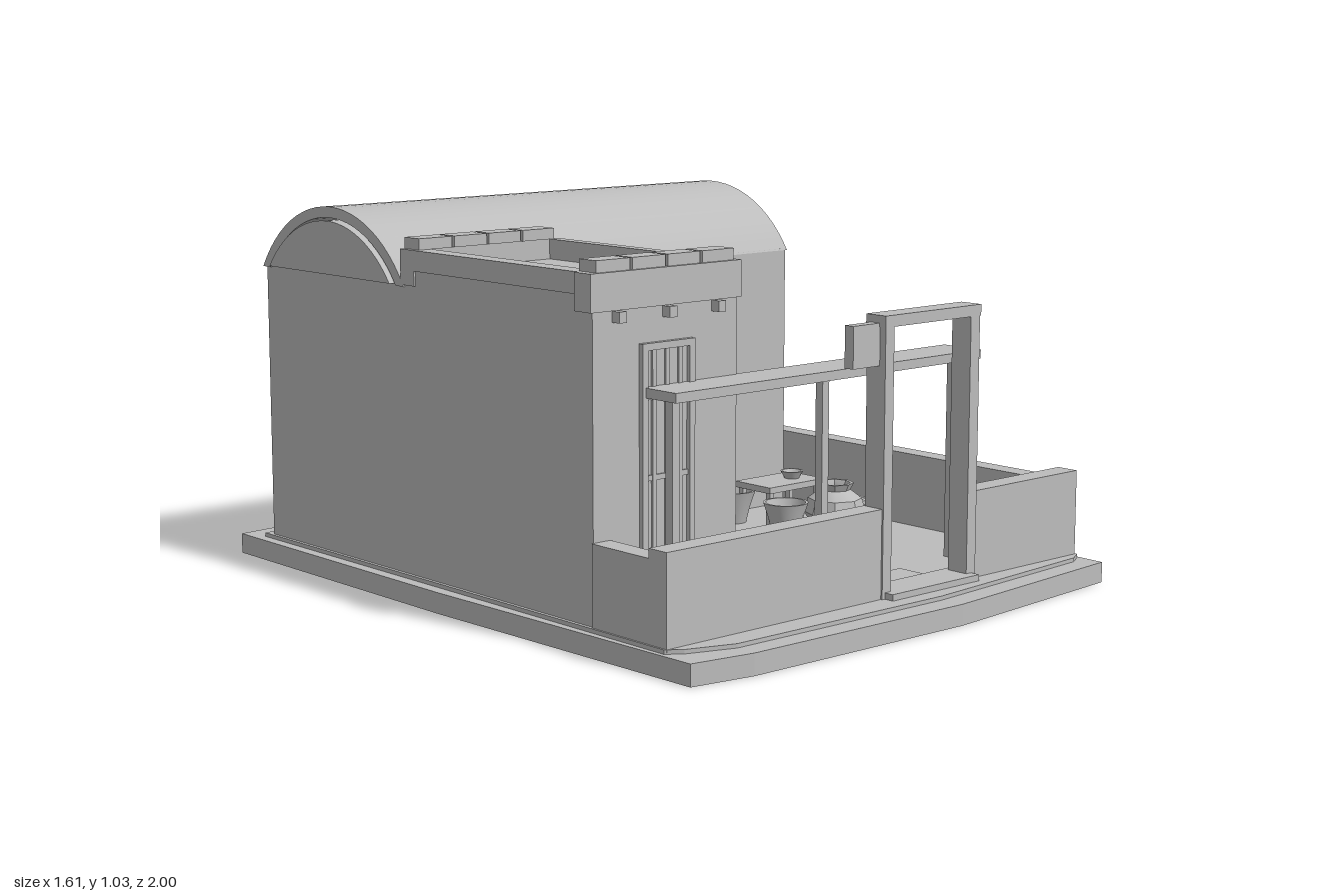
import * as THREE from 'three';
import { toCreasedNormals } from 'three/addons/utils/BufferGeometryUtils.js';

export function createModel() {
  const model = new THREE.Group();
  model.name = 'courtyardHouse';
  const clay = new THREE.MeshStandardMaterial({ color: 0xbcbcbc, side: THREE.DoubleSide });
  clay.name = 'plain grey clay';

  const add = (name, geometry, parent = model) => {
    const mesh = new THREE.Mesh(geometry, clay);
    mesh.name = name;
    parent.add(mesh);
    return mesh;
  };
  // Box given by its limits on each axis
  const box = (name, x0, x1, y0, y1, z0, z1, parent = model) => {
    const mesh = add(name, new THREE.BoxGeometry(x1 - x0, y1 - y0, z1 - z0), parent);
    mesh.position.set((x0 + x1) / 2, (y0 + y1) / 2, (z0 + z1) / 2);
    return mesh;
  };
  // Flat slab with an outline of [x, z] corners
  const slab = (name, outline, y0, y1) => {
    const shape = new THREE.Shape(outline.map(([x, z]) => new THREE.Vector2(x, -z)));
    const geo = new THREE.ExtrudeGeometry(shape, { depth: y1 - y0, bevelEnabled: false });
    add(name, geo.rotateX(-Math.PI / 2).translate(0, y0, 0));
  };

  // Ground plinth and yard floor
  slab('groundSlab', [[-0.8, -0.96], [-0.235, -1], [0.685, -0.975], [0.8, -0.66], [0.8, -0.1],
    [0.775, 0.94], [0.13, 1], [-0.6, 0.985], [-0.78, 0.955], [-0.805, 0]], 0, 0.057);
  slab('yardFloor', [[-0.77, -0.88], [-0.6, -0.9], [-0.2, -0.945], [0.66, -0.915], [0.7, -0.8], [0.775, -0.8],
    [0.765, 0.86], [0.72, 0.885], [0.12, 0.935], [-0.6, 0.925], [-0.73, 0.88], [-0.77, 0.85]], 0.057, 0.068);

  // Main hall
  box('hallWalls', -0.76, 0.65, 0.06, 0.85, -0.85, -0.19);

  // Barrel roof: arch profile swept along x
  const cy = 0.639, cu = 0.525;
  const arc = (r, y0) => {
    const a = Math.asin((y0 - cy) / r);
    return Array.from({ length: 25 }, (_, i) => {
      const t = a + (Math.PI - 2 * a) * i / 24;
      return new THREE.Vector2(cu + r * Math.cos(t), cy + r * Math.sin(t));
    });
  };
  const sweep = (name, points, x0, x1) => {
    const geo = new THREE.ExtrudeGeometry(new THREE.Shape(points), { depth: x1 - x0, bevelEnabled: false });
    geo.rotateY(Math.PI / 2).translate(x0, 0, 0);
    add(name, toCreasedNormals(geo, 0.5));
  };
  sweep('barrelRoof', [...arc(0.396, 0.845), ...arc(0.366, 0.845).reverse()], -0.765, 0.655);
  sweep('archedGables', arc(0.358, 0.85), -0.776, 0.664);
  box('roofEave', -0.76, 0.65, 0.8, 0.85, -0.2, -0.19);

  // Front wing with a walled flat roof
  box('wingWalls', -0.76, -0.28, 0.06, 0.89, -0.19, 0.58);
  box('frontParapet', -0.775, -0.275, 0.85, 0.945, 0.53, 0.592);
  box('rearParapet', -0.765, -0.275, 0.85, 0.945, -0.2, -0.14);
  box('leftParapet', -0.765, -0.71, 0.89, 0.945, -0.14, 0.53);
  box('rightParapet', -0.305, -0.27, 0.89, 0.945, -0.14, 0.53);
  for (let i = 0; i < 4; i++) {
    const x = -0.75 + i * 0.116;
    box('frontMerlon', x, x + 0.108, 0.945, 0.975, 0.52, 0.583);
    box('rearMerlon', x, x + 0.108, 0.945, 0.975, -0.2, -0.135);
  }
  for (const x of [-0.685, -0.52, -0.355]) box('roofBeamEnd', x - 0.012, x + 0.012, 0.82, 0.848, 0.57, 0.607);

  // Panelled doors with frame, stiles and rails
  const door = (name, x0, x1, y0, y1, z) => {
    const g = new THREE.Group();
    g.name = name;
    model.add(g);
    const f = 0.018, w = x1 - x0, h = y1 - y0;
    for (const x of [x0, x1 - f]) box('doorJamb', x, x + f, y0, y1, z, z + 0.016, g);
    box('doorHead', x0, x1, y1 - f, y1, z, z + 0.016, g);
    box('doorSill', x0, x1, y0, y0 + f, z, z + 0.016, g);
    box('doorLeaf', x0 + f, x1 - f, y0, y1 - f, z, z + 0.004, g);
    for (let i = 1; i < 4; i++) {
      const x = x0 + w * i / 4;
      box('doorStile', x - 0.006, x + 0.006, y0 + f, y1 - f, z, z + 0.01, g);
    }
    for (const t of [0.2, 0.5, 0.8]) {
      const y = y0 + h * t;
      box('doorRail', x0 + f, x1 - f, y - 0.007, y + 0.007, z, z + 0.009, g);
    }
  };
  door('wingDoor', -0.61, -0.435, 0.08, 0.76, 0.578);
  door('hallDoor', -0.2, 0.095, 0.08, 0.76, -0.192);
  box('hallDoorStep', -0.22, 0.11, 0.06, 0.085, -0.19, -0.15);
  box('hallLintel', -0.28, 0.17, 0.805, 0.838, -0.19, -0.163);
  box('slantedBoard', -0.275, -0.11, 0.775, 0.79, -0.17, -0.15).rotation.y = 0.3;

  // Yard walls
  box('frontWallLeft', -0.765, -0.02, 0.06, 0.305, 0.79, 0.855);
  box('frontWallRight', 0.33, 0.76, 0.06, 0.305, 0.79, 0.855);
  box('rightWall', 0.697, 0.758, 0.06, 0.28, -0.795, 0.79);
  box('leftWall', -0.765, -0.705, 0.06, 0.28, 0.58, 0.79);

  // Gateway
  box('gatePostLeft', -0.025, 0.007, 0.06, 0.78, 0.795, 0.86);
  box('gatePostRight', 0.3, 0.335, 0.06, 0.78, 0.795, 0.86);
  box('gateBeam', -0.027, 0.337, 0.775, 0.805, 0.793, 0.862);
  box('gateThreshold', -0.015, 0.32, 0.06, 0.085, 0.78, 0.888);
  box('hangingBoard', -0.122, -0.025, 0.675, 0.785, 0.81, 0.84);

  // Porch canopy
  box('canopy', -0.6, 0.52, 0.625, 0.65, 0.573, 0.705);
  for (const x of [-0.555, -0.03, 0.48]) box('canopyPost', x - 0.012, x + 0.012, 0.06, 0.625, 0.63, 0.655);

  // Stepping stones
  for (const [x, z] of [[0.135, 0.18], [0.147, 0.287], [0.167, 0.39], [0.16, 0.5], [0.143, 0.728]]) {
    box('steppingStone', x - 0.09, x + 0.09, 0.06, 0.08, z - 0.045, z + 0.045);
  }

  // Table with a bowl
  box('tableTop', 0.35, 0.573, 0.172, 0.19, -0.085, 0.06);
  for (const x of [0.365, 0.558]) {
    for (const z of [-0.07, 0.045]) box('tableLeg', x - 0.008, x + 0.008, 0.06, 0.172, z - 0.008, z + 0.008);
  }
  const turned = (name, profile, sides, x, z, y = 0.066) => {
    const geo = new THREE.LatheGeometry(profile.map(([r, h]) => new THREE.Vector2(r, h)), sides);
    add(name, toCreasedNormals(geo, 0.6)).position.set(x, y, z);
  };
  turned('bowl', [[0, 0], [0.022, 0], [0.034, 0.022], [0.028, 0.022], [0.018, 0.007], [0, 0.007]], 16, 0.508, -0.01, 0.19);

  // Open pots and a faceted water jar
  const pot = [[0, 0], [0.038, 0], [0.05, 0.05], [0.066, 0.098], [0.058, 0.098], [0.044, 0.05], [0.03, 0.012], [0, 0.012]];
  turned('pot', pot, 18, 0.345, -0.09);
  turned('pot', pot, 18, 0.335, 0.14);
  turned('waterJar', [[0, 0], [0.05, 0], [0.09, 0.065], [0.078, 0.105], [0.045, 0.13], [0.055, 0.15],
    [0.045, 0.15], [0.035, 0.128], [0.05, 0.06], [0, 0.03]], 8, 0.46, 0.215);

  // Slatted bench
  for (const z of [0.083, 0.12, 0.157]) box('benchSlat', 0.53, 0.68, 0.118, 0.13, z - 0.011, z + 0.011);
  for (const x of [0.55, 0.66]) box('benchLeg', x - 0.008, x + 0.008, 0.06, 0.118, 0.075, 0.165);

  return model;
}
